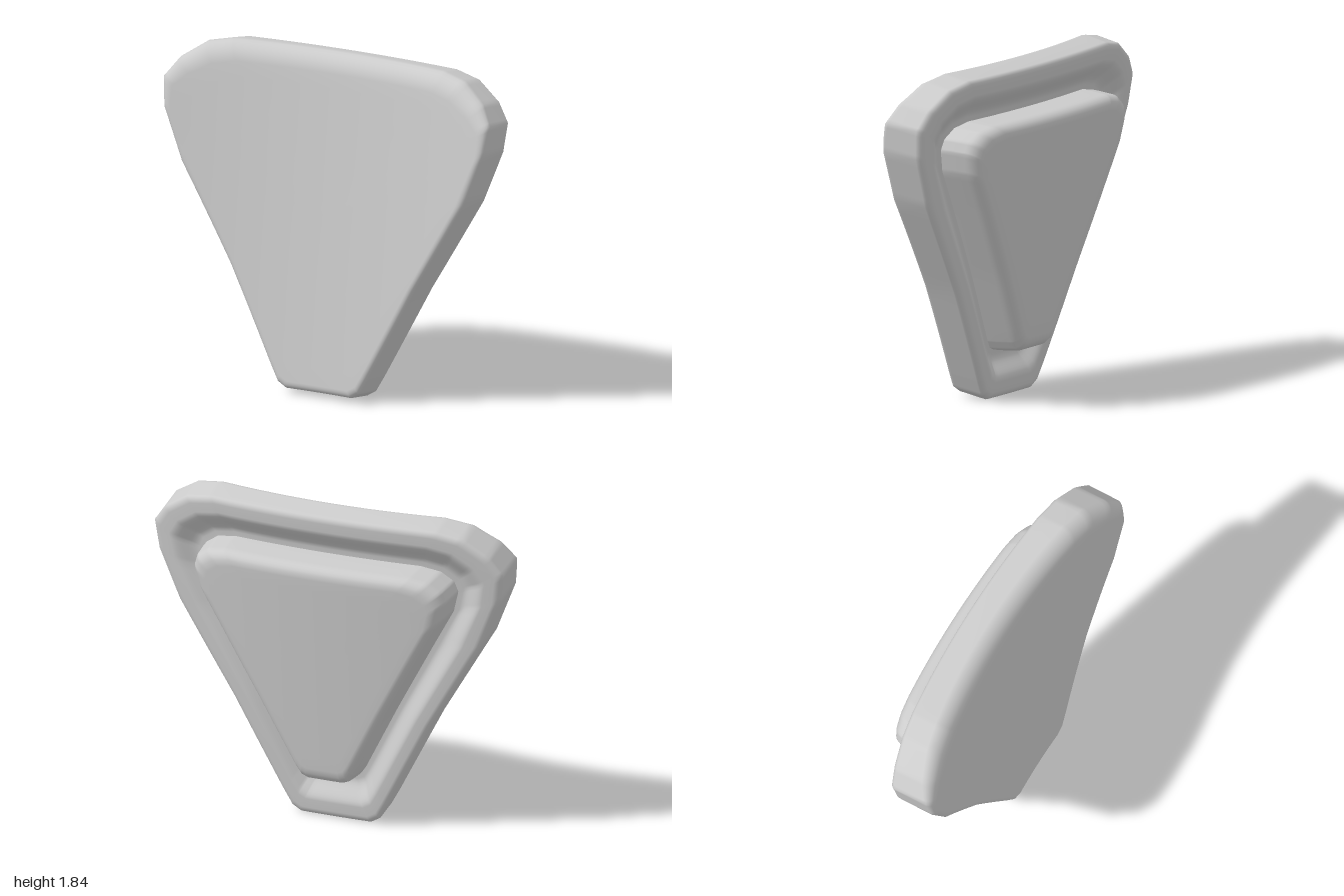
import * as THREE from 'three';
import { mergeVertices } from 'three/addons/utils/BufferGeometryUtils.js';

// Half outlines, bottom centre to top centre, point for point: body edge and raised back pad
const BODY = [[0, 0], [0.2, 0], [0.25, 0.03], [0.3, 0.12], [0.565, 0.63], [0.87, 1.15], [0.98, 1.43],
  [1, 1.59], [0.93, 1.69], [0.79, 1.785], [0.64, 1.815], [0, 1.815]];
const PAD = [[0, 0.25], [0.1, 0.25], [0.135, 0.265], [0.165, 0.31], [0.365, 0.7], [0.58, 1.1], [0.7, 1.32],
  [0.73, 1.44], [0.71, 1.5], [0.64, 1.55], [0.53, 1.57], [0, 1.57]];
const CENTRE_Y = 0.95;
const SUB = 6;

// Subdivide a half outline and mirror it into a closed loop
function loop(half) {
  const pts = [];
  for (let i = 0; i < half.length - 1; i++) {
    for (let j = 0; j < SUB; j++) {
      const t = j / SUB;
      pts.push([0, 1].map((k) => half[i][k] * (1 - t) + half[i + 1][k] * t));
    }
  }
  pts.push(half[half.length - 1]);
  const mirrored = pts.slice(1, -1).reverse().map(([x, y]) => [-x, y]);
  return pts.concat(mirrored);
}

const bodyLoop = loop(BODY);
const padLoop = loop(PAD);

// Curved, leaning front and back sheets
const frontZ = (x, y) => 0.27 - 0.12 * y + 0.13 * x * x;
const backZ = (x, y) => 0.045 - 0.12 * y + 0.09 * x * x;

// Ring: m blends body edge to pad edge, s scales to the centre, back picks the sheet, off shifts z
function ringPoints({ m = 0, s = 1, back = 1, off = 0 }) {
  return bodyLoop.map(([bx, by], i) => {
    const [px, py] = padLoop[i];
    // the front edge is rounded more softly along the top
    const soft = back ? 1 : 1 + 1.5 * THREE.MathUtils.smoothstep(by, 1.45, 1.8);
    const k = m * soft;
    const x = (bx + (px - bx) * k) * s;
    const y = CENTRE_Y + (by + (py - by) * k - CENTRE_Y) * s + (back ? 0 : 0.025);
    return [x, y, (back ? backZ(x, y) : frontZ(x, y)) + off * soft];
  });
}

function loft(name, rings, material) {
  const n = bodyLoop.length;
  const index = [];
  for (let r = 0; r < rings.length - 1; r++) {
    for (let i = 0; i < n; i++) {
      const a = r * n + i, d = r * n + (i + 1) % n;
      index.push(a, a + n, d + n, a, d + n, d);
    }
  }
  let geo = new THREE.BufferGeometry();
  geo.setAttribute('position', new THREE.Float32BufferAttribute(rings.flatMap(ringPoints).flat(), 3));
  geo.setIndex(index);
  geo = mergeVertices(geo, 1e-5);
  geo.computeVertexNormals();
  const mesh = new THREE.Mesh(geo, material);
  mesh.name = name;
  return mesh;
}

export function createModel() {
  const group = new THREE.Group();
  group.name = 'shieldPlate';
  const material = new THREE.MeshStandardMaterial({ color: 0xcccccc });
  const STEPS = 6;

  // Plate: front face, rounded front edge, wall, rounded back rim, groove
  const plate = [];
  for (let i = 0; i <= 10; i++) plate.push({ m: 0.17, s: i / 10, back: 0 });
  for (let i = 1; i <= STEPS; i++) {
    const a = (i / STEPS) * Math.PI / 2;
    plate.push({ m: 0.17 * (1 - Math.sin(a)), back: 0, off: -0.035 * (1 - Math.cos(a)) });
  }
  for (let i = 0; i <= STEPS; i++) {
    const a = (i / STEPS) * Math.PI / 2;
    plate.push({ m: 0.15 * (1 - Math.cos(a)), off: 0.03 * (1 - Math.sin(a)) });
  }
  for (let i = 0; i <= 10; i++) {
    const t = i / 10;
    plate.push({ m: 0.35 + 0.55 * t, off: 0.08 * THREE.MathUtils.smoothstep(t, 0, 1) });
  }
  plate.push({ m: 1, off: 0.08 }, { m: 1, s: 0.95, off: 0.08 });
  group.add(loft('plate', plate, material));

  // Back pad: wall out of the groove, rounded edge, curved face
  const pad = [{ m: 1, off: 0.09 }, { m: 1, s: 0.995, off: 0.02 }];
  for (let i = 0; i <= STEPS; i++) {
    const a = (i / STEPS) * Math.PI / 2;
    pad.push({ m: 1, s: 0.89 + 0.095 * Math.cos(a), off: -0.06 - 0.075 * Math.sin(a) });
  }
  for (let i = 9; i >= 0; i--) pad.push({ m: 1, s: 0.87 * i / 9, off: -0.137 });
  group.add(loft('backPad', pad, material));

  return group;
}
